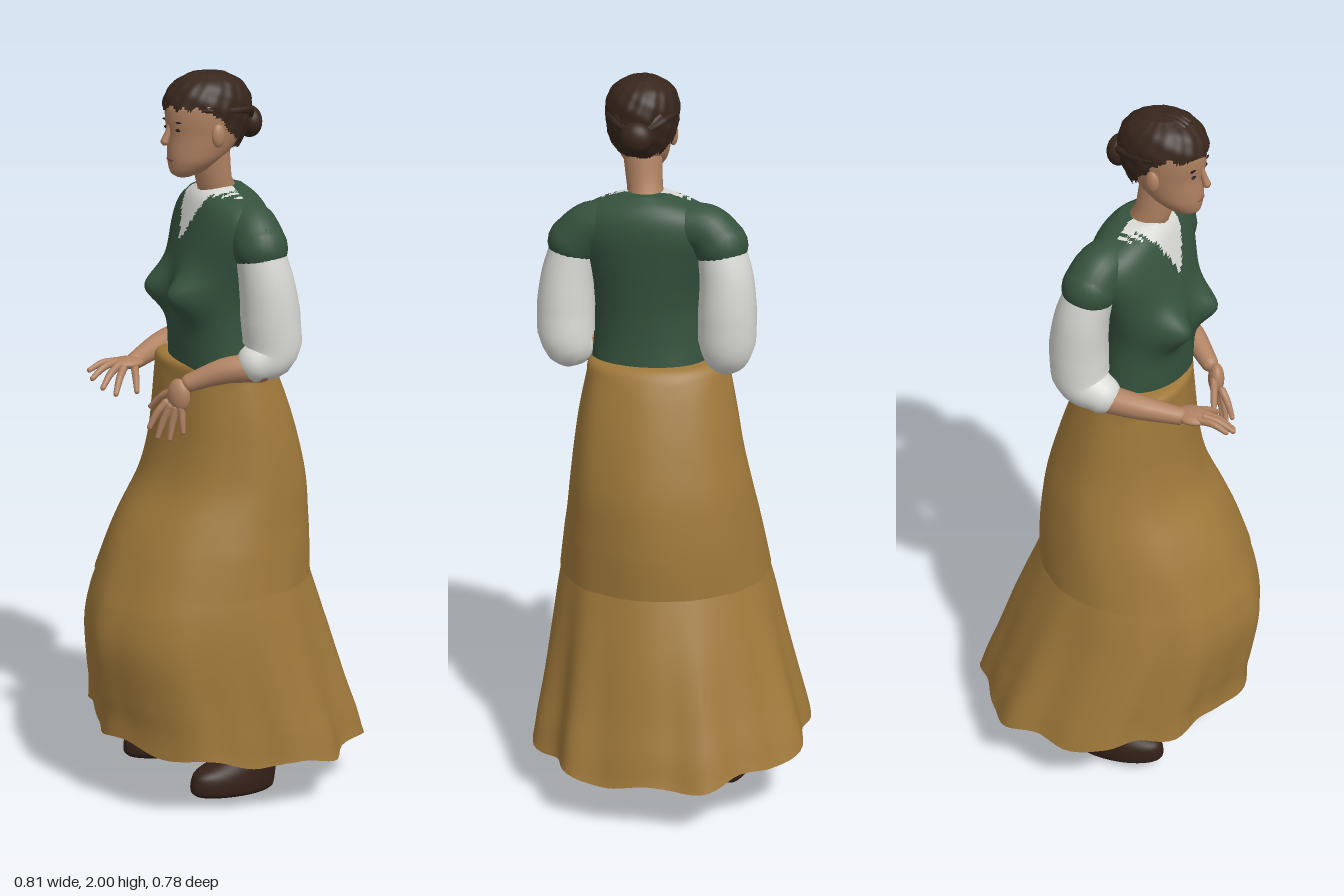
import * as THREE from 'three';
import { mergeGeometries } from 'three/addons/utils/BufferGeometryUtils.js';

const mat = (name, color, side = THREE.FrontSide) => {
  const m = new THREE.MeshStandardMaterial({ color, side });
  m.name = name;
  return m;
};
const V = (p) => new THREE.Vector3(...p);

// Closed cross-sections stacked upward; each row is [y, xMin, xMax, zMin, zMax].
// opts: warp(point, angle) moves points, keep(x,y,z) drops faces, pick(x,y,z) gives a material index.
function loft(rows, steps, segs, opts = {}) {
  const { warp, keep, pick, caps = true } = opts;
  const cx = new THREE.CatmullRomCurve3(rows.map((r) => V([r[0], r[1], r[2]])), false, 'catmullrom');
  const cz = new THREE.CatmullRomCurve3(rows.map((r) => V([r[0], r[3], r[4]])), false, 'catmullrom');
  const pos = [], faces = [[], []];
  for (let i = 0; i <= steps; i++) {
    const a = cx.getPoint(i / steps), b = cz.getPoint(i / steps);
    for (let j = 0; j < segs; j++) {
      const t = (j / segs) * Math.PI * 2;
      const p = V([(a.y + a.z) / 2 + Math.cos(t) * (a.z - a.y) / 2, a.x,
        (b.y + b.z) / 2 + Math.sin(t) * (b.z - b.y) / 2]);
      if (warp) warp(p, t);
      pos.push(p.x, p.y, p.z);
    }
  }
  const add = (...ids) => {
    const c = [0, 1, 2].map((k) => ids.reduce((s, v) => s + pos[v * 3 + k], 0) / 3);
    if (!keep || keep(...c)) faces[pick ? pick(...c) : 0].push(...ids);
  };
  for (let i = 0; i < steps; i++) for (let j = 0; j < segs; j++) {
    const k = (j + 1) % segs, a = i * segs + j, c = i * segs + k;
    add(a, a + segs, c);
    add(a + segs, c + segs, c);
  }
  if (caps) for (const i of [0, steps]) {
    const n = pos.length / 3, c = [0, 0, 0];
    for (let j = 0; j < segs; j++) for (let k = 0; k < 3; k++) c[k] += pos[(i * segs + j) * 3 + k] / segs;
    pos.push(...c);
    for (let j = 0; j < segs; j++) {
      const a = i * segs + j, b = i * segs + (j + 1) % segs;
      if (i) add(n, b, a); else add(n, a, b);
    }
  }
  const g = new THREE.BufferGeometry();
  g.setAttribute('position', new THREE.Float32BufferAttribute(pos, 3));
  g.setIndex([...faces[0], ...faces[1]]);
  if (pick) {
    g.addGroup(0, faces[0].length, 0);
    g.addGroup(faces[0].length, faces[1].length, 1);
  }
  g.computeVertexNormals();
  return g;
}

// Round limb along a path with changing radius and rounded ends
function limb(points, radii, n = 16, sides = 16) {
  const path = new THREE.CatmullRomCurve3(points.map(V));
  const g = new THREE.TubeGeometry(path, n, 1, sides);
  const p = g.attributes.position;
  for (let i = 0; i <= n; i++) {
    const c = path.getPointAt(i / n), f = (i / n) * (radii.length - 1), k = Math.min(Math.floor(f), radii.length - 2);
    const r = THREE.MathUtils.lerp(radii[k], radii[k + 1], f - k);
    for (let j = 0; j <= sides; j++) {
      const q = i * (sides + 1) + j, v = new THREE.Vector3().fromBufferAttribute(p, q).sub(c).multiplyScalar(r).add(c);
      p.setXYZ(q, v.x, v.y, v.z);
    }
  }
  const ends = [0, points.length - 1].map((i) =>
    new THREE.SphereGeometry(radii[i ? radii.length - 1 : 0], sides, 10).translate(...points[i]));
  return mergeGeometries([g, ...ends]);
}

const ball = (c, s) => new THREE.SphereGeometry(1, 24, 16).scale(...s).translate(...c);

export function createModel() {
  const skin = mat('skin', 0xb08262), hair = mat('hair', 0x37261c, THREE.DoubleSide);
  const green = mat('bodice green', 0x35523d), white = mat('blouse white', 0xd8d8d4);
  const ochre = mat('skirt ochre', 0x9f783a, THREE.DoubleSide), leather = mat('shoe leather', 0x332018);
  const lip = mat('lip', 0x8c5a4a), dark = mat('eye dark', 0x2a1c18);
  const model = new THREE.Group();
  const add = (name, geo, material, parent = model) => {
    const m = new THREE.Mesh(geo, material);
    m.name = name;
    parent.add(m);
    return m;
  };
  const group = (name, x, y, z, ry) => {
    const g = new THREE.Group();
    g.name = name;
    g.position.set(x, y, z);
    g.rotation.y = ry;
    model.add(g);
    return g;
  };

  // Skirt: folds deepen toward an uneven hem
  const hem = [.94, .94, .94, 1, .91, .99, .95, .89, .91, .95, .94, .94, .97, .9, .9, .96, .9, 1, 1.0, .96, 1.04, .98, .95, 1.01];
  const fold = (p, a) => {
    const t = THREE.MathUtils.clamp((0.75 - p.y) / 0.55, 0, 1);
    const f = a / (Math.PI * 2) * 24, k = Math.floor(f) % 24;
    const r = THREE.MathUtils.lerp(hem[k], hem[(k + 1) % 24], THREE.MathUtils.smoothstep(f % 1, 0, 1));
    const s = 1 + (r - 1) * t + 0.008 * Math.sin(a * 8) * (1 - t) * (p.y < 1.2 ? 1 : 0);
    p.x *= s;
    p.z *= s;
    p.y += t ** 3 * (-0.03 * Math.cos(a) - 0.02 * Math.sin(a) + 0.01 * Math.sin(a * 9));
  };
  add('skirtUpper', loft([
    [0.63, -.372, .23, -.273, .319], [0.72, -.332, .228, -.255, .305], [0.8, -.29, .222, -.238, .293],
    [0.9, -.23, .208, -.215, .282], [1.0, -.202, .182, -.192, .27], [1.1, -.19, .15, -.175, .255],
    [1.19, -.182, .115, -.158, .236], [1.235, -.175, .087, -.147, .226], [1.245, -.13, .05, -.1, .18],
  ], 40, 96, { warp: fold, caps: false }), ochre);
  add('skirtFlounce', loft([
    [0.18, -.39, .41, -.39, .408], [0.25, -.39, .385, -.372, .394], [0.33, -.4, .352, -.35, .375],
    [0.47, -.412, .3, -.312, .347], [0.57, -.392, .258, -.287, .328], [0.655, -.356, .222, -.263, .309],
  ], 28, 120, { warp: fold, caps: false }), ochre);

  // Bodice with blouse showing in a V at the neck
  const torso = group('torso', -0.05, 0, 0.065, -0.18);
  add('bodice', loft([
    [1.22, -.118, .112, -.165, .158], [1.3, -.122, .103, -.156, .152], [1.38, -.126, .102, -.152, .152],
    [1.45, -.128, .108, -.164, .164], [1.52, -.115, .116, -.185, .185], [1.59, -.095, .122, -.205, .205],
    [1.64, -.08, .116, -.188, .188], [1.675, -.066, .098, -.135, .135], [1.7, -.045, .07, -.06, .06],
  ], 56, 96, {
    warp: (p) => {
      if (p.x < 0) p.x -= 0.06 * Math.exp(-(((p.y - 1.425) / 0.055) ** 2) - ((Math.abs(p.z) - 0.082) / 0.05) ** 2);
    },
    pick: (x, y, z) => (x < 0.02 && y > Math.min(1.555 + 1.8 * Math.abs(z), 1.686) + 0.007 * Math.sin(z * 300) ? 1 : 0),
  }), [green, white], torso);

  // Arms: sloping shoulder, puffed sleeve, forearm, hand
  const arms = [
    { side: 'right', shoulder: [[.0, 1.62, -.02], [.022, 1.61, -.09], [.036, 1.575, -.125]],
      sleeve: [[.035, 1.565, -.125], [.052, 1.49, -.14], [.06, 1.38, -.143], [.048, 1.295, -.142], [0, 1.262, -.142]],
      fore: [[.02, 1.255, -.145], [-.1, 1.235, -.13], [-.2, 1.21, -.1]],
      palm: [-.235, 1.212, -.088, .047, .016, .04, .25],
      knuckles: [[-.26, 1.215, -.108], [-.268, 1.217, -.092], [-.268, 1.212, -.076], [-.262, 1.205, -.062], [-.225, 1.205, -.065]],
      tips: [[-.335, 1.2, -.115], [-.345, 1.185, -.085], [-.335, 1.165, -.05], [-.31, 1.15, -.025], [-.27, 1.16, .015]] },
    { side: 'left', shoulder: [[-.03, 1.62, .15], [-.044, 1.6, .22], [-.05, 1.56, .262]],
      sleeve: [[-.05, 1.545, .264], [-.042, 1.47, .28], [-.034, 1.38, .287], [-.032, 1.285, .284], [-.065, 1.262, .268]],
      fore: [[-.06, 1.25, .275], [-.13, 1.24, .222], [-.2, 1.205, .16]],
      palm: [-.225, 1.17, .145, .022, .046, .033, -.4],
      knuckles: [[-.25, 1.15, .122], [-.243, 1.142, .134], [-.235, 1.138, .146], [-.226, 1.14, .156], [-.225, 1.18, .125]],
      tips: [[-.287, 1.085, .1], [-.268, 1.058, .11], [-.247, 1.055, .135], [-.222, 1.075, .16], [-.25, 1.125, .05]] },
  ];
  for (const a of arms) {
    add(a.side + 'Shoulder', limb(a.shoulder, [.06, .068, .072], 16, 24), green);
    add(a.side + 'Sleeve', limb(a.sleeve, [.064, .072, .078, .077, .052], 24, 24), white);
    add(a.side + 'Forearm', limb(a.fore, [.04, .034, .024]), skin);
    const [x, y, z, sx, sy, sz, ry] = a.palm;
    add(a.side + 'Palm', new THREE.SphereGeometry(1, 20, 14).scale(sx, sy, sz).rotateY(-ry).translate(x, y, z), skin);
    a.tips.forEach((tip, i) => {
      const k = a.knuckles[i], mid = k.map((v, j) => (v + tip[j]) / 2 + (j === 1 ? 0.008 : 0));
      add(a.side + 'Finger', limb([k, mid, tip], [.011, .0095, .007], 8, 8), skin);
    });
  }

  // Neck and head
  add('neck', limb([[-.03, 1.63, .068], [-.063, 1.71, .075], [-.08, 1.79, .08]], [.058, .047, .052]), skin);
  const head = group('head', -0.09, 0, 0.08, -0.13);
  const skull = [
    [1.73, -.085, -.05, -.015, .015], [1.742, -.102, -.015, -.036, .036], [1.77, -.108, .03, -.058, .058],
    [1.8, -.109, .066, -.068, .068], [1.84, -.108, .092, -.076, .076], [1.88, -.113, .104, -.082, .082],
    [1.92, -.11, .104, -.082, .082], [1.96, -.083, .08, -.064, .064], [1.985, -.035, .035, -.026, .026],
  ];
  add('face', loft(skull, 36, 48), skin, head);
  add('nose', limb([[-.106, 1.868, 0], [-.114, 1.842, 0], [-.121, 1.825, 0]], [.006, .008, .011], 8, 12), skin, head);
  add('lips', ball([-.105, 1.778, 0], [.006, .006, .019]), lip, head);
  for (const s of [-1, 1]) {
    add('eye', ball([-.1, 1.856, s * .033], [.004, .004, .011]), dark, head);
    add('brow', ball([-.101, 1.876, s * .036], [.004, .0025, .016]), dark, head);
    add('ear', ball([-.008, 1.842, s * .08], [.018, .03, .012]), skin, head);
  }

  // Hair: a wavy cap above the hairline, loose locks and a bun
  const cap = skull.map(([y, a, b, c, d]) => [y + (y > 1.9 ? 0.01 : 0), a - 0.005, b + 0.014, c - 0.014, d + 0.014]);
  add('hairCap', loft(cap, 54, 96, {
    warp: (p, a) => {
      const r = 1 + 0.012 * Math.sin(a * 17 + p.y * 60) + 0.01 * Math.sin(a * 7 - p.y * 140);
      p.x *= r;
      p.z *= r;
    },
    keep: (x, y, z) => y > (x < -0.03 ? 1.912 : 1.905 - (x + 0.03) * 1.05) + 0.006 * Math.sin(x * 170 + z * 90),
  }), hair, head);
  for (let i = 0; i < 13; i++) {
    const w = (i - 6) / 6, z = w * 0.085, h = 1.992 - 0.075 * w * w;
    add('hairLock', limb([[-.09 + .05 * w * w, h - .04 + .03 * w * w, z * .9], [-.05 + .02 * w * w, h - .008, z], [.03, h - .012, z],
      [.09, 1.93 - .03 * w * w, z * .75], [.115, 1.87, z * .2]], [.006, .012, .012, .012, .006], 14, 6), hair, head);
  }
  add('bun', ball([.123, 1.86, 0], [.032, .042, .044]), hair, head);

  // Ankles and shoes
  for (const z of [0.155, -0.17]) {
    add('ankle', limb([[.025, .09, z], [.025, .14, z], [.025, .185, z]], [.034, .032, .034]), skin);
    const shoe = group('shoe', -0.06, 0.018, z, z > 0 ? 0.05 : -0.08);
    const upper = add('shoeUpper', loft([
      [0, -.125, .13, -.048, .048], [.012, -.138, .138, -.061, .061], [.04, -.14, .14, -.063, .063],
      [.065, -.128, .14, -.059, .059], [.09, -.075, .138, -.052, .052], [.112, -.02, .135, -.046, .046],
      [.134, .035, .13, -.04, .04],
    ], 24, 40), leather, shoe);
    upper.rotation.z = -0.12;
  }
  return model;
}
